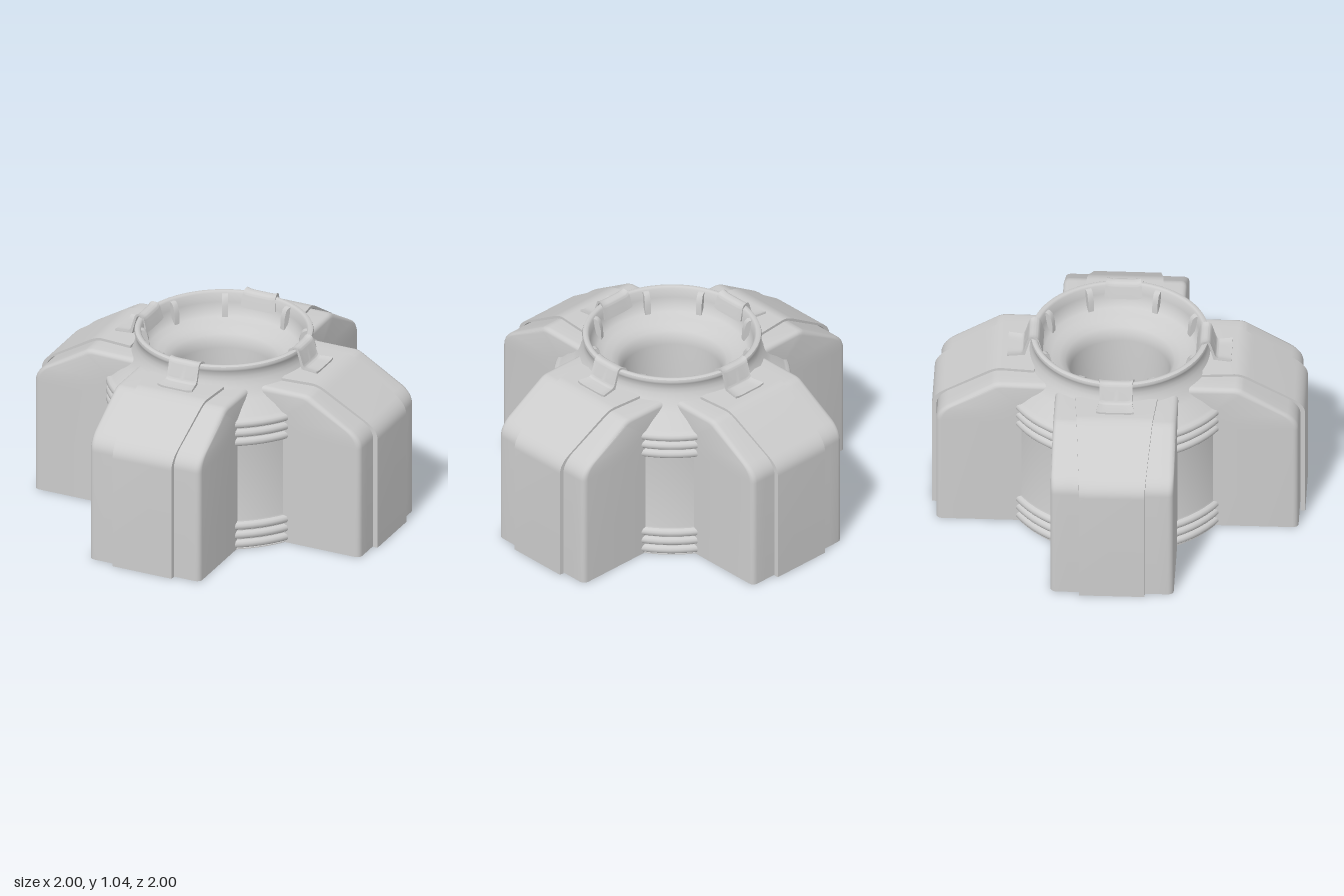
import * as THREE from 'three';
import { toCreasedNormals } from 'three/addons/utils/BufferGeometryUtils.js';

const material = new THREE.MeshStandardMaterial({ color: 0xcccccc, side: THREE.DoubleSide });

function part(name, geometry, crease = 0.7) {
  const mesh = new THREE.Mesh(toCreasedNormals(geometry, crease), material);
  mesh.name = name;
  return mesh;
}

function lathe(name, points) {
  return part(name, new THREE.LatheGeometry(points.map(([r, y]) => new THREE.Vector2(r, y)), 72));
}

// Extrudes a side profile drawn in (z, y) across x, centred on x = 0
function across(shape, width, steps = 1) {
  const geometry = new THREE.ExtrudeGeometry(shape, { depth: width, steps, curveSegments: 8, bevelEnabled: false });
  return geometry.translate(0, 0, -width / 2).rotateY(-Math.PI / 2);
}

function polygon(points) {
  return new THREE.Shape(points.map(([a, b]) => new THREE.Vector2(a, b)));
}

// Three rounded lips stacked upward from y0
function lips(y0) {
  const points = [];
  for (let i = 0; i < 3; i++) {
    const y = y0 + i * 0.053;
    points.push([0.613, y], [0.628, y + 0.006], [0.635, y + 0.016], [0.635, y + 0.03], [0.628, y + 0.041], [0.613, y + 0.047]);
  }
  return points;
}

// Hollow shell, open below and toward the drum: one section across x per profile point
function createBlock() {
  const s = new THREE.Shape();
  s.moveTo(0.97, 0);
  s.lineTo(0.97, 0.64);
  s.quadraticCurveTo(0.97, 0.695, 0.91, 0.735);
  s.lineTo(0.68, 0.875);
  s.quadraticCurveTo(0.655, 0.893, 0.62, 0.893);
  s.lineTo(0.375, 0.893);
  const profile = s.getPoints(8);
  const half = 0.33, bevel = 0.03, bevelSteps = 4, topSteps = 10;

  // Each section entry: x and inset from the profile toward the drum
  const section = [];
  for (let i = 0; i <= bevelSteps; i++) {
    const a = (i / bevelSteps) * Math.PI / 2;
    section.push([-half + bevel * (1 - Math.cos(a)), bevel * (1 - Math.sin(a))]);
  }
  for (let i = 1; i < topSteps; i++) section.push([(half - bevel) * (2 * i / topSteps - 1), 0]);
  for (let i = bevelSteps; i >= 0; i--) section.push([-section[i][0], section[i][1]]);

  const positions = [], index = [], n = section.length + 2;
  for (const p of profile) {
    const foot = p.x > 0.6 ? new THREE.Vector2(0.5, Math.min(p.y, 0.74)) : new THREE.Vector2(0.385, 0.863);
    const inward = foot.clone().sub(p).normalize();
    positions.push(-half, foot.y, foot.x);
    for (const [x, inset] of section) {
      const z = p.x + inward.x * inset;
      const neck = Math.sqrt(Math.max(0, 0.46 ** 2 - x * x));
      positions.push(x, p.y + inward.y * inset, Math.max(z, neck));
    }
    positions.push(half, foot.y, foot.x);
  }
  for (let i = 0; i < profile.length - 1; i++) {
    for (let j = 0; j < n - 1; j++) {
      const a = i * n + j, b = a + 1, c = a + n, d = c + 1;
      index.push(a, b, d, a, d, c);
    }
  }
  const geometry = new THREE.BufferGeometry();
  geometry.setAttribute('position', new THREE.Float32BufferAttribute(positions, 3));
  geometry.setIndex(index);
  return part('buttressBlock', geometry);
}

function createStrap() {
  // Raised cover band, widening toward the neck
  const s = new THREE.Shape();
  s.moveTo(0.975, 0);
  s.lineTo(1, 0);
  s.lineTo(1, 0.64);
  s.quadraticCurveTo(1, 0.695, 0.94, 0.735);
  s.lineTo(0.71, 0.88);
  s.quadraticCurveTo(0.66, 0.912, 0.62, 0.912);
  s.lineTo(0.45, 0.912);
  s.lineTo(0.45, 0.897);
  s.lineTo(0.62, 0.897);
  s.quadraticCurveTo(0.655, 0.897, 0.685, 0.878);
  s.lineTo(0.915, 0.738);
  s.quadraticCurveTo(0.975, 0.695, 0.975, 0.64);
  const geometry = across(s, 2);
  const p = geometry.attributes.position;
  for (let i = 0; i < p.count; i++) {
    const t = THREE.MathUtils.clamp((1 - p.getZ(i)) / 0.55, 0, 1);
    p.setX(i, p.getX(i) * (0.175 + 0.045 * t));
  }
  return part('coverStrap', geometry);
}

function createClip() {
  // Bent plate hooked over the rim; its side edges curl outward at both ends
  const s = new THREE.Shape();
  s.moveTo(0.6, 0.91);
  s.lineTo(0.6, 0.922);
  s.lineTo(0.535, 0.922);
  s.quadraticCurveTo(0.518, 0.922, 0.512, 0.94);
  s.lineTo(0.49, 1.01);
  s.quadraticCurveTo(0.482, 1.03, 0.465, 1.03);
  s.quadraticCurveTo(0.435, 1.03, 0.428, 1.005);
  s.lineTo(0.41, 0.94);
  s.lineTo(0.425, 0.935);
  s.lineTo(0.442, 1);
  s.quadraticCurveTo(0.448, 1.017, 0.465, 1.017);
  s.quadraticCurveTo(0.476, 1.017, 0.48, 1);
  s.lineTo(0.505, 0.91);
  const geometry = across(s, 2, 10);
  const p = geometry.attributes.position;
  for (let i = 0; i < p.count; i++) {
    const u = p.getX(i), z = p.getZ(i);
    const flare = Math.min(1, Math.abs(z - 0.505) / 0.095) ** 2;
    p.setX(i, u * (0.088 + 0.014 * flare));
    p.setY(i, p.getY(i) + 0.008 * Math.abs(u) ** 6);
  }
  return part('rimClip', geometry, 0.9);
}

export function createModel() {
  const model = new THREE.Group();
  model.name = 'buttressedBase';

  // Outer drum, shoulder, rim, bowl and central tube
  model.add(lathe('drumAndBowl', [
    [0.56, 0], [0.62, 0], [0.62, 0.006], ...lips(0.008), [0.61, 0.17], [0.61, 0.61], ...lips(0.613),
    [0.602, 0.775], [0.565, 0.815], [0.53, 0.845], [0.505, 0.875], [0.488, 0.905], [0.474, 0.93],
    [0.469, 0.955], [0.47, 0.98], [0.477, 0.992], [0.481, 1.004], [0.477, 1.016], [0.466, 1.022],
    [0.453, 1.02], [0.444, 1.01], [0.438, 0.96], [0.428, 0.918], [0.405, 0.89], [0.365, 0.873],
    [0.325, 0.86], [0.293, 0.84], [0.274, 0.81], [0.268, 0.77], [0.268, 0.03],
  ]));
  // Inner skin of the hollow drum
  model.add(lathe('drumLining', [[0.268, 0.74], [0.48, 0.74], [0.56, 0.68], [0.56, 0]]));

  // Four identical sides
  for (let i = 0; i < 4; i++) {
    const side = new THREE.Group();
    side.name = 'buttress';
    side.add(createBlock(), createStrap(), createClip());
    side.rotation.y = i * Math.PI / 2;
    model.add(side);

    // Two upright ribs inside the rim beside each clip
    for (const sign of [-1, 1]) {
      const profile = polygon([[0.45, 0.88], [0.398, 0.885], [0.402, 0.95], [0.415, 0.995], [0.43, 1.008], [0.45, 1.01]]);
      const rib = part('rimRib', across(profile, 0.032));
      rib.rotation.y = i * Math.PI / 2 + sign * 0.44;
      model.add(rib);
    }
  }
  return model;
}
